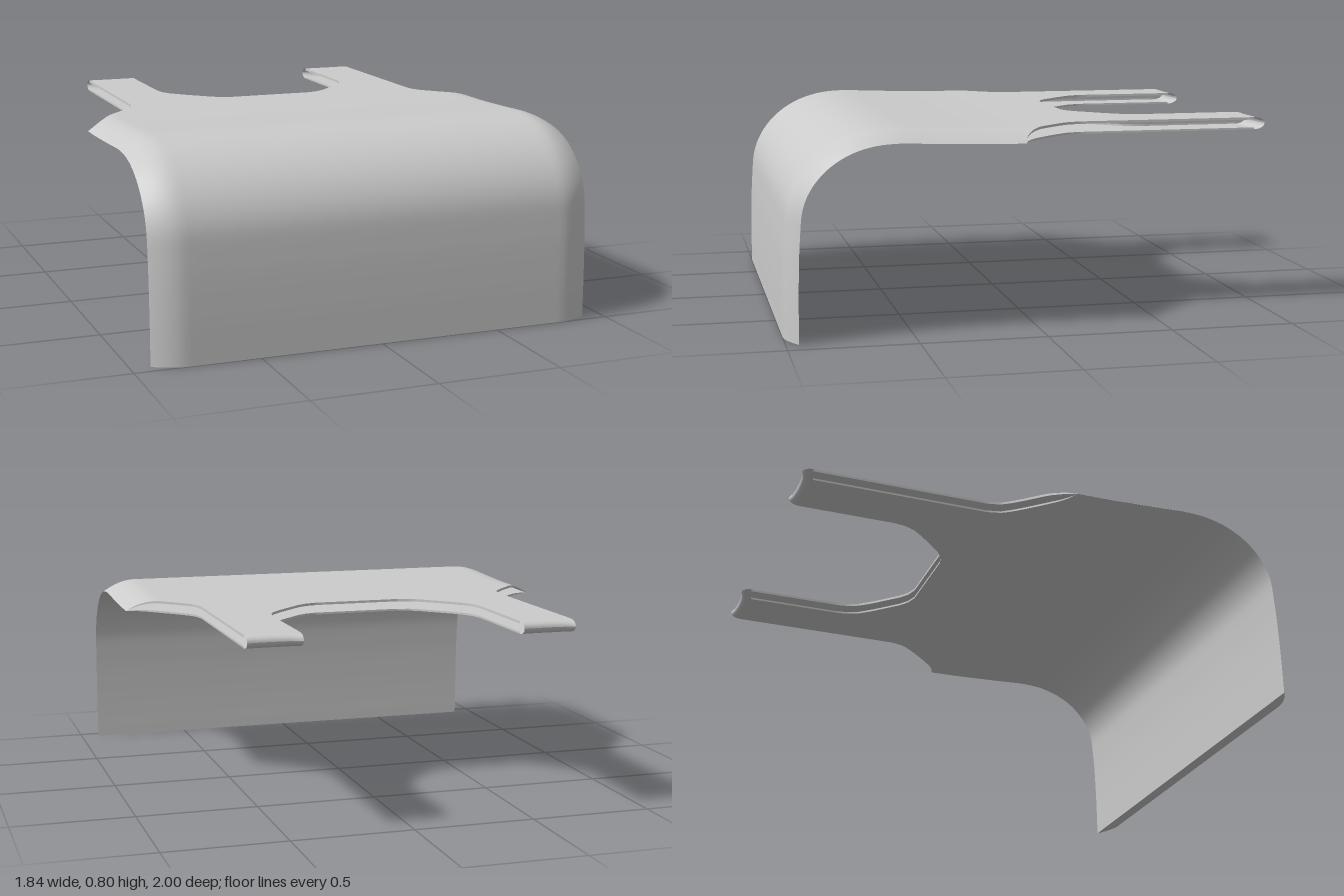
import * as THREE from 'three';

const T = 0.05;            // distance between the two skins
const Z_WING = 0.07;       // where the sides start to narrow
const Z_NOTCH = -0.26;     // rear edge of the panel between the arms
const Z_FOLD = -0.955;     // where the arm tips begin to taper
const Y_FLAT = 0.79;

const material = new THREE.MeshStandardMaterial({ color: 0xcccccc, side: THREE.DoubleSide });

// Side profile of the outer skin, from the lower front edge up and back
const profile = new THREE.CatmullRomCurve3([
  [0, 1], [0.2, 0.998], [0.4, 0.99], [0.53, 0.975], [0.62, 0.935], [0.7, 0.865], [0.758, 0.775],
  [0.79, 0.68], [0.802, 0.58], [0.797, 0.4], [0.791, 0.2], [Y_FLAT, Z_WING],
].map(([y, z]) => new THREE.Vector3(0, y, z)), false, 'centripetal');

// Half-width outlines as [z, x]
const outerEdge = [[0.07, 0.922], [0.058, 0.885], [0.03, 0.845], [-0.02, 0.795], [-0.08, 0.738],
  [-0.13, 0.695], [-0.165, 0.672], [-0.22, 0.66], [-1, 0.66]];
const innerEdge = [[-0.26, 0.18], [-0.268, 0.22], [-0.3, 0.268], [-0.4, 0.368], [-0.455, 0.415],
  [-0.5, 0.435], [-0.55, 0.443], [-1, 0.443]];

function edgeX(table, z) {
  for (let i = 1; i < table.length; i++) {
    const [za, xa] = table[i - 1], [zb, xb] = table[i];
    if (z >= zb) return THREE.MathUtils.lerp(xa, xb, THREE.MathUtils.clamp((z - za) / (zb - za), 0, 1));
  }
  return table[table.length - 1][1];
}

// The outer skin rolls inward near both sides until it meets the inner skin
const roll = x => T * Math.pow(Math.max(0, (Math.abs(x) - 0.79) / 0.132), 1.8);

// Surface grid: f(u, v) returns a point, u and v run from 0 to 1
function grid(name, nu, nv, f) {
  const geometry = new THREE.PlaneGeometry(1, 1, nu, nv);
  const { position, uv } = geometry.attributes;
  for (let i = 0; i < position.count; i++) position.setXYZ(i, ...f(uv.getX(i), uv.getY(i)));
  geometry.computeVertexNormals();
  const mesh = new THREE.Mesh(geometry, material);
  mesh.name = name;
  return mesh;
}

// Point on the profile at v, pushed in by a depth
function shellPoint(x, v, depth) {
  const p = profile.getPointAt(v), t = profile.getTangentAt(v);
  return [x, p.y + t.z * depth, p.z - t.y * depth];
}

// Columns crowd towards the sides where the roll is
const spread = u => -Math.cos(Math.PI * u);

export function createModel() {
  const model = new THREE.Group();
  model.name = 'curvedPanel';
  const lerp = THREE.MathUtils.lerp;

  // Panel: one continuous skin from the front hem to the notch
  const split = 0.75;
  const panel = (name, inner) => grid(name, 60, 88, (u, v) => {
    const s = spread(u) * (inner ? -1 : 1);
    if (v <= split) {
      const x = s * 0.922;
      return shellPoint(x, v / split, inner ? T : roll(x));
    }
    const z = lerp(Z_WING, Z_NOTCH, (v - split) / (1 - split));
    const x = s * edgeX(outerEdge, z);
    return [x, Y_FLAT - (inner ? T : roll(x)), z];
  });
  model.add(panel('outerSkin', false), panel('innerSkin', true));

  // Lower hem joining the two skins
  model.add(grid('frontHem', 60, 1, (u, v) => {
    const x = spread(u) * 0.922;
    return shellPoint(x, 0, lerp(T, roll(x), v));
  }));

  // Narrow lips along the open rear edge of each skin
  const lips = [['upperLip', 0, -0.01], ['lowerLip', T, 0.008]];
  for (const [name, depth, height] of lips) {
    model.add(grid('notch' + name, 1, 1, (u, v) =>
      [lerp(0.18, -0.18, u), Y_FLAT - depth + height * (1 - v), Z_NOTCH]));
  }

  for (const side of [1, -1]) {
    const arm = new THREE.Group();
    arm.name = side > 0 ? 'leftArm' : 'rightArm';
    arm.scale.x = side;

    // Upper and lower skins of the arm
    for (const [name, depth] of [['armUpperSkin', 0], ['armLowerSkin', T]]) {
      arm.add(grid(name, 4, 50, (u, v) => {
        const z = lerp(Z_NOTCH, Z_FOLD, v), w = depth ? 1 - u : u;
        return [lerp(edgeX(innerEdge, z), edgeX(outerEdge, z), w), Y_FLAT - depth, z];
      }));
    }

    // Tapered tip, slightly hollow across its end
    for (const dir of [1, -1]) {
      arm.add(grid(dir > 0 ? 'tipTop' : 'tipBottom', 10, 6, (u, v) => {
        const w = dir > 0 ? u : 1 - u, a = v * Math.PI / 2;
        const reach = 0.045 - 0.012 * Math.pow(Math.sin(Math.PI * w), 0.5);
        return [lerp(0.443, 0.66, w), Y_FLAT - T / 2 + dir * T / 2 * Math.cos(a), Z_FOLD - reach * Math.sin(a)];
      }));
    }

    // Lips following the outer and inner outlines
    for (const [name, depth, height] of lips) {
      arm.add(grid('outer' + name, 70, 1, (u, v) => {
        const z = lerp(Z_WING, Z_FOLD, u), x = edgeX(outerEdge, z);
        const drop = depth || roll(x);
        const room = (T - roll(x)) / T;
        return [x, Y_FLAT - drop + height * room * (1 - v), z];
      }));
      arm.add(grid('inner' + name, 50, 1, (u, v) => {
        const z = lerp(Z_FOLD, Z_NOTCH, u);
        return [edgeX(innerEdge, z), Y_FLAT - depth + height * (1 - v), z];
      }));
    }
    model.add(arm);
  }
  return model;
}
